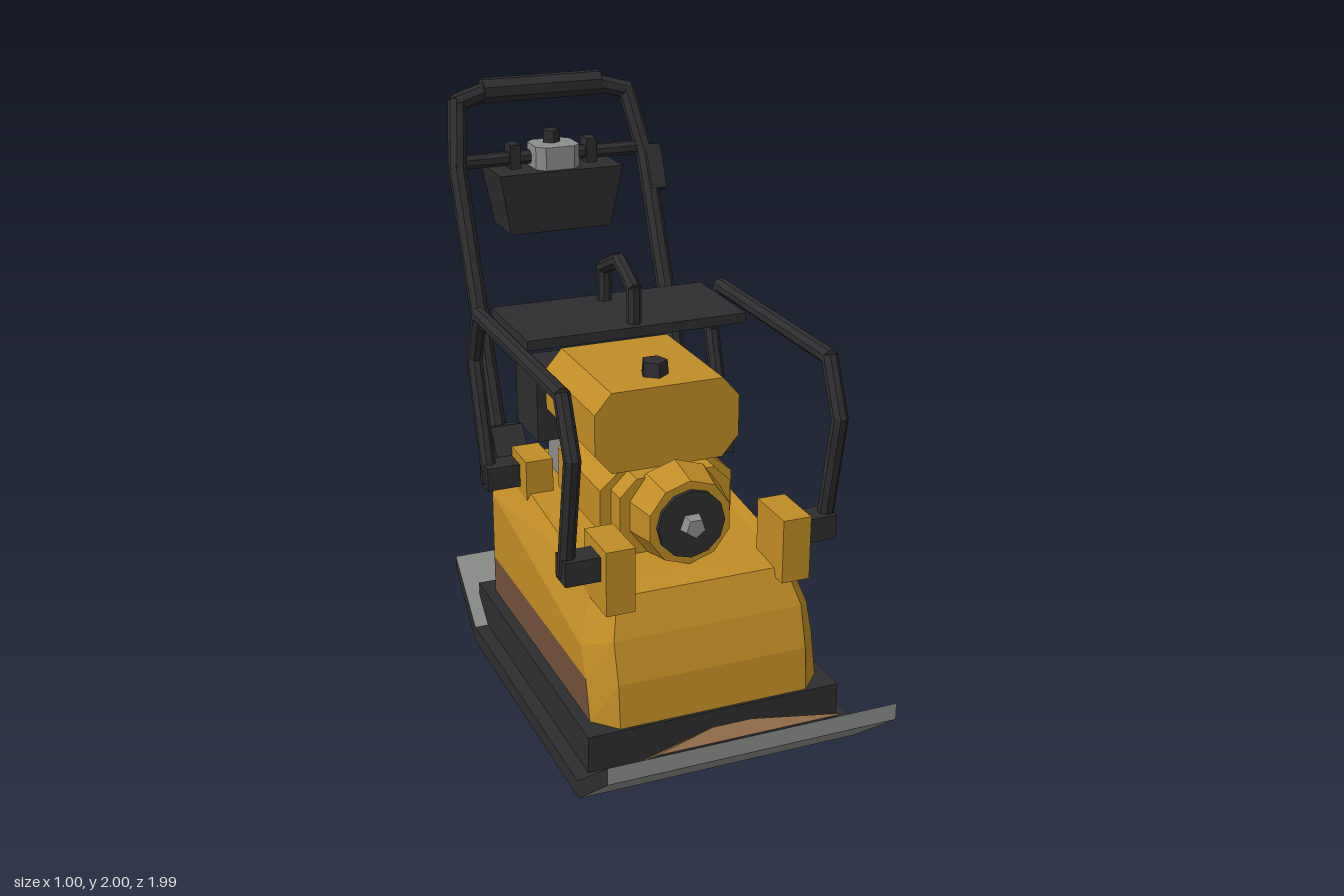
import * as THREE from 'three';

const mat = (name, color) => Object.assign(new THREE.MeshStandardMaterial({ color }), { name });
const V = (x, y, z) => new THREE.Vector3(x, y, z);

export function createModel() {
  const yellow = mat('yellow paint', 0xc08d25);
  const dark = mat('black metal', 0x2d2d2f);
  const grey = mat('bare steel', 0x8c8e8b);
  const soil = mat('light soil', 0x966f48);
  const mud = mat('mud', 0x70503a);
  const root = new THREE.Group();
  root.name = 'plateCompactor';

  // Adds a mesh with flat faceted normals
  const add = (name, geo, material) => {
    const g = geo.index ? geo.toNonIndexed() : geo;
    g.computeVertexNormals();
    const m = new THREE.Mesh(g, material);
    m.name = name;
    root.add(m);
    return m;
  };
  // Box given by its limits
  const box = (name, x0, x1, y0, y1, z0, z1, m) =>
    add(name, new THREE.BoxGeometry(x1 - x0, y1 - y0, z1 - z0)
      .translate((x0 + x1) / 2, (y0 + y1) / 2, (z0 + z1) / 2), m);
  const shape = pts => new THREE.Shape(pts.map(p => new THREE.Vector2(...p)));
  // Side profile of (z, y) points, extruded across the width
  const across = (name, pts, w, m) =>
    add(name, new THREE.ExtrudeGeometry(shape(pts), { depth: w, bevelEnabled: false })
      .rotateY(-Math.PI / 2).translate(w / 2, 0, 0), m);
  // Front profile of (x, y) points, extruded from z0 to z1
  const along = (name, pts, z0, z1, m) =>
    add(name, new THREE.ExtrudeGeometry(shape(pts), { depth: z1 - z0, bevelEnabled: false })
      .translate(0, 0, z0), m);
  const octagon = (w, c, y0, y1, ya, yb) => [
    [-c, y0], [c, y0], [w, ya], [w, yb], [c, y1], [-c, y1], [-w, yb], [-w, ya]];
  // Bent bar: one faceted cylinder per straight run, overlapping at the bends
  const bar = (name, pts, r, m = dark) => {
    for (let i = 1; i < pts.length; i++) {
      const d = pts[i].clone().sub(pts[i - 1]);
      const g = new THREE.CylinderGeometry(r, r, d.length() + r * 0.5, 8).rotateY(Math.PI / 8);
      g.applyQuaternion(new THREE.Quaternion().setFromUnitVectors(V(0, 1, 0), d.normalize()));
      const c = pts[i].clone().add(pts[i - 1]).multiplyScalar(0.5);
      add(name, g.translate(c.x, c.y, c.z), m);
    }
  };
  // Custom faces, each a list of corner points, fanned into triangles
  const faces = list => {
    const p = [];
    for (const f of list)
      for (let i = 1; i < f.length - 1; i++)
        for (const v of [f[0], f[i], f[i + 1]]) p.push(...v);
    return new THREE.BufferGeometry().setAttribute('position', new THREE.Float32BufferAttribute(p, 3));
  };

  // Base plate: flat middle and upturned steel ends
  across('basePlate', [[-0.38, 0], [0.74, 0], [0.73, 0.06], [-0.37, 0.06]], 1, dark);
  across('frontLip', [[0.74, 0], [1, 0.21], [1, 0.27], [0.73, 0.06]], 1, [dark, grey]);
  across('rearLip', [[-0.38, 0], [-0.37, 0.06], [-0.6, 0.25], [-0.6, 0.2]], 1, [dark, grey]);
  box('baseFrame', -0.45, 0.45, 0.04, 0.19, -0.47, 0.7, dark);

  // Soil heaped on the front lip
  const [a, b, c, d] = [[-0.33, 0.05, 0.71], [0.33, 0.05, 0.71], [0.33, 0.262, 0.98], [-0.33, 0.262, 0.98]];
  const [e, f] = [[-0.07, 0.21, 0.82], [0.07, 0.21, 0.82]];
  add('soilHeap', faces([[a, e, f, b], [b, f, c], [c, f, e, d], [d, e, a]]), soil);

  // Hood: loft of four eight-sided rings; each row holds (x, y, z) of the right half
  const rings = [
    [[0.335, 0.19, 0.69], [0.41, 0.19, 0.61], [0.41, 0.19, -0.39], [0.335, 0.19, -0.46]],
    [[0.335, 0.34, 0.675], [0.41, 0.33, 0.575], [0.41, 0.33, -0.39], [0.335, 0.33, -0.46]],
    [[0.335, 0.48, 0.635], [0.41, 0.43, 0.53], [0.41, 0.59, -0.39], [0.335, 0.59, -0.46]],
    [[0.3, 0.605, 0.575], [0.345, 0.62, 0.47], [0.345, 0.7, -0.38], [0.3, 0.7, -0.46]],
  ].map(h => [...h, ...h.map(([x, y, z]) => [-x, y, z]).reverse()]);
  const paint = [], dirt = [];
  for (let r = 0; r < 3; r++)
    for (let i = 0; i < 8; i++) {
      const j = (i + 1) % 8;
      (r === 0 && (i === 1 || i === 5) ? dirt : paint)
        .push([rings[r][i], rings[r][j], rings[r + 1][j], rings[r + 1][i]]);
    }
  paint.push(rings[3]);
  add('hood', faces(paint), yellow);
  add('muddySides', faces(dirt), mud);

  // Engine
  along('crankcase', octagon(0.24, 0.17, 0.62, 0.9, 0.69, 0.84), -0.14, 0.27, yellow);
  along('crankcaseFront', octagon(0.2, 0.14, 0.62, 0.9, 0.68, 0.84), 0.27, 0.35, yellow);
  const disc = (name, rf, rb, n, z0, z1, m) =>
    add(name, new THREE.CylinderGeometry(rf, rb, z1 - z0, n).rotateX(Math.PI / 2)
      .translate(0, 0.77, (z0 + z1) / 2), m);
  disc('starterHousing', 0.15, 0.175, 10, 0.34, 0.47, yellow);
  disc('starterCover', 0.12, 0.12, 12, 0.46, 0.485, dark);
  disc('starterHub', 0.035, 0.045, 5, 0.48, 0.52, grey);
  along('fuelTank', octagon(0.26, 0.2, 0.9, 1.185, 0.97, 1.115), -0.2, 0.28, yellow);
  add('fuelCap', new THREE.CylinderGeometry(0.045, 0.05, 0.06, 5).translate(0, 1.205, 0.16), dark);
  box('engineBlock', -0.2, 0.2, 0.66, 0.9, -0.36, -0.13, grey);

  // Paired parts: engine boxes, mounts, cage rails, handle pivots
  for (const s of [-1, 1]) {
    const sbox = (name, x0, x1, ...rest) =>
      box(name, Math.min(s * x0, s * x1), Math.max(s * x0, s * x1), ...rest);
    sbox('engineSideBox', 0.08, 0.29, 0.84, 1.09, -0.44, -0.21, dark);
    sbox('frontMount', 0.26, 0.36, 0.575, 0.8, 0.44, 0.635, yellow);
    sbox('rearMount', 0.26, 0.36, 0.64, 0.8, -0.3, -0.14, yellow);
    sbox('frontCageFoot', 0.35, 0.48, 0.68, 0.765, 0.5, 0.59, dark);
    sbox('rearCageFoot', 0.35, 0.48, 0.68, 0.765, -0.3, -0.21, dark);
    bar('cageRail', [[0.535, 0.7], [0.615, 1.12], [0.53, 1.305], [-0.31, 1.305], [-0.39, 1.12], [-0.25, 0.7]]
      .map(([z, y]) => V(s * 0.46, y, z)), 0.028);
    add('handlePivot', new THREE.CylinderGeometry(0.1, 0.1, 0.12, 5).rotateZ(Math.PI / 2)
      .translate(s * 0.355, 0.76, -0.4), dark);
    sbox('switchBracket', 0.13, 0.17, 1.67, 1.77, -0.88, -0.81, dark);
  }

  // Cage cover and lifting eye
  box('coverPlate', -0.4, 0.4, 1.275, 1.31, -0.36, 0.03, dark);
  bar('cageCrossbar', [V(-0.45, 1.255, -0.33), V(0.45, 1.255, -0.33)], 0.025);
  bar('liftingEye', [[-0.02, 1.3], [-0.02, 1.43], [-0.155, 1.495], [-0.3, 1.43], [-0.3, 1.3]]
    .map(([z, y]) => V(0, y, z)), 0.026);

  // Operator handle
  const half = [V(0.37, 0.76, -0.41), V(0.37, 1.7, -0.825), V(0.335, 1.92, -0.92), V(0.22, 1.95, -0.94)];
  bar('handleBar', [...half, ...half.map(p => V(-p.x, p.y, p.z)).reverse()], 0.034);
  bar('handleGrip', [V(-0.22, 1.952, -0.946), V(0.22, 1.952, -0.946)], 0.047);
  bar('handleCrossbar', [V(-0.38, 1.715, -0.845), V(0.38, 1.715, -0.845)], 0.027);

  // Control tray, tapering towards its bottom
  const tray = new THREE.BoxGeometry(0.48, 0.23, 0.24);
  const p = tray.attributes.position;
  for (let i = 0; i < p.count; i++)
    if (p.getY(i) < 0) p.setXYZ(i, p.getX(i) * 0.82, p.getY(i), p.getZ(i) * 0.83);
  add('controlTray', tray.translate(0, 1.565, -0.84), dark);
  const sw = octagon(0.085, 0.055, -0.9, -0.74, -0.87, -0.77);
  add('controlBox', new THREE.ExtrudeGeometry(shape(sw.map(([x, z]) => [x, -z]).reverse()),
    { depth: 0.11, bevelEnabled: false }).rotateX(-Math.PI / 2).translate(0, 1.655, 0), grey);
  add('controlKnob', new THREE.CylinderGeometry(0.035, 0.035, 0.05, 5).translate(0, 1.785, -0.845), dark);
  add('throttleLever', new THREE.BoxGeometry(0.06, 0.17, 0.07).rotateX(-0.42)
    .translate(0.395, 1.64, -0.8), dark);

  return root;
}
